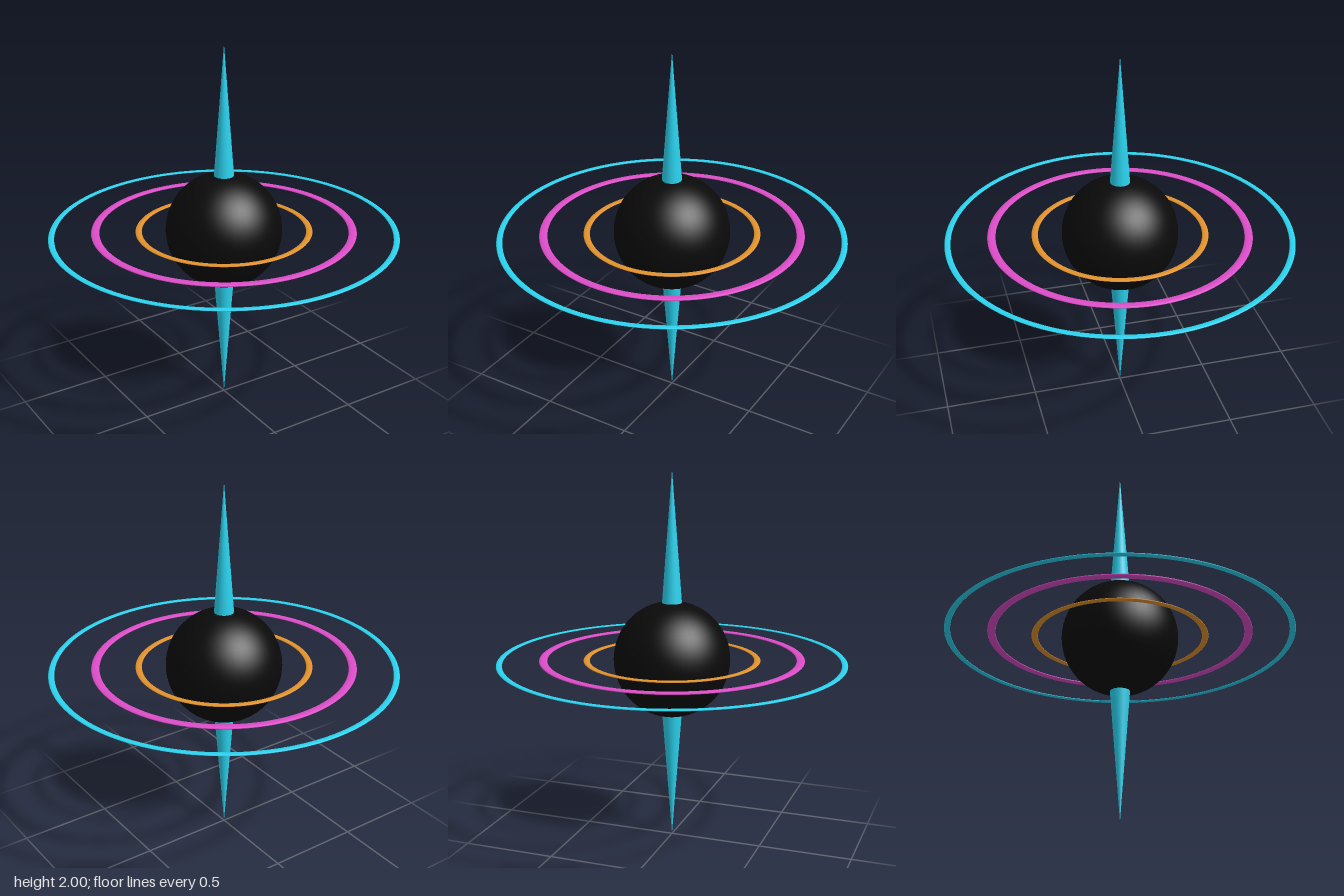
import * as THREE from 'three';

const paint = (color) => new THREE.MeshStandardMaterial({ color });

export function createModel() {
  const model = new THREE.Group();
  const add = (name, geometry, material, y) => {
    const mesh = new THREE.Mesh(geometry, material);
    mesh.name = name;
    mesh.position.y = y;
    model.add(mesh);
    return mesh;
  };
  const cyan = paint(0x2ad2ee);

  // Dark central sphere
  add('core', new THREE.SphereGeometry(0.31, 48, 32), paint(0x0a0a0a), 1);

  // Tapering jets above and below, their bases sunk into the core
  const length = 0.7;
  for (const side of [1, -1]) {
    const jet = add(side > 0 ? 'upperJet' : 'lowerJet',
      new THREE.ConeGeometry(0.053, length, 24), cyan, 1 + side * (1 - length / 2));
    if (side < 0) jet.rotation.x = Math.PI;
  }

  // Flattened concentric rings: name, radius, tube radius, height, material
  const rings = [
    ['innerRing', 0.453, 0.017, 1.0, paint(0xe2922c)],
    ['middleRing', 0.681, 0.022, 1.008, paint(0xdc4cc8)],
    ['outerRing', 0.911, 0.016, 0.996, cyan],
  ];
  for (const [name, radius, tube, y, material] of rings) {
    const ring = new THREE.TorusGeometry(radius, tube, 12, 96);
    ring.rotateX(Math.PI / 2).scale(1, 0.28, 1);
    add(name, ring, material, y);
  }
  return model;
}
